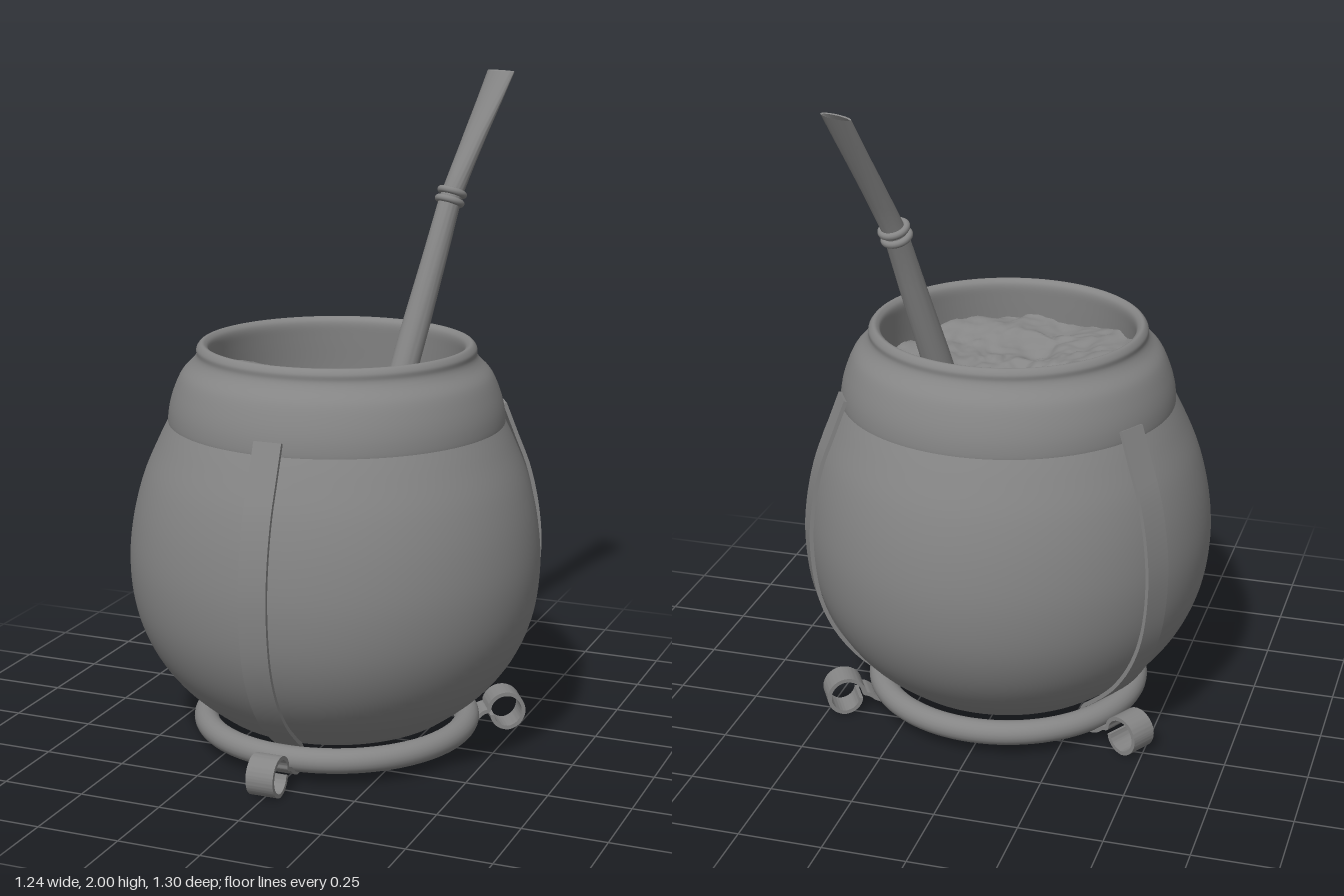
import * as THREE from 'three';
import { mergeVertices, toCreasedNormals } from 'three/addons/utils/BufferGeometryUtils.js';

const CZ = 0.025; // z of the vessel axis
const V2 = (p) => new THREE.Vector2(p[0], p[1]);
const V3 = (x, y, z) => new THREE.Vector3(x, y, z);
const darkGrey = new THREE.MeshStandardMaterial({ color: 0x858585, side: THREE.DoubleSide });

function part(name, geometry) {
  const mesh = new THREE.Mesh(geometry, darkGrey);
  mesh.name = name;
  return mesh;
}

// Weld seams and give smooth normals
function smooth(geometry) {
  geometry.deleteAttribute('uv');
  geometry.deleteAttribute('normal');
  const g = mergeVertices(geometry, 1e-5);
  g.computeVertexNormals();
  return g;
}

// Move every vertex by a rule
function deform(geometry, rule) {
  const pos = geometry.attributes.position;
  const v = V3(0, 0, 0);
  for (let i = 0; i < pos.count; i++) {
    rule(v.fromBufferAttribute(pos, i));
    pos.setXYZ(i, v.x, v.y, v.z);
  }
  return geometry;
}

const lathe = (points, steps) =>
  new THREE.LatheGeometry(new THREE.SplineCurve(points.map(V2)).getPoints(steps), 96);

// Smooth value noise in -1..1
function noise(x, z) {
  const hash = (i, j) => {
    const s = Math.sin(i * 127.1 + j * 311.7) * 43758.5453;
    return (s - Math.floor(s)) * 2 - 1;
  };
  const i = Math.floor(x), j = Math.floor(z);
  const u = THREE.MathUtils.smootherstep(x - i, 0, 1), w = THREE.MathUtils.smootherstep(z - j, 0, 1);
  const { lerp } = THREE.MathUtils;
  return lerp(lerp(hash(i, j), hash(i + 1, j), u), lerp(hash(i, j + 1), hash(i + 1, j + 1), u), w);
}

// Slightly uneven gourd, flatter under the straps
function gourdBody() {
  const g = lathe([[0.001, 0.075], [0.2, 0.077], [0.32, 0.09], [0.39, 0.13], [0.48, 0.21], [0.55, 0.31], [0.595, 0.43],
    [0.612, 0.57], [0.602, 0.71], [0.573, 0.84], [0.53, 0.95], [0.497, 1.02]], 60);
  return smooth(deform(g, (v) => {
    const a = Math.atan2(v.x, v.z);
    const fade = Math.max(0, Math.sin((v.y - 0.08) / 0.94 * Math.PI));
    const k = 1 + fade * (0.007 * (1 - Math.cos(2 * a)) - 0.008 * Math.cos(3 * a) + 0.003 * Math.sin(5 * a));
    v.x *= k;
    v.z *= k;
  }));
}

// Collar with rolled rim and inner wall
function collar() {
  return smooth(lathe([[0.495, 1.0], [0.504, 1.004], [0.5, 1.05], [0.486, 1.1], [0.463, 1.15], [0.43, 1.185], [0.418, 1.205],
    [0.417, 1.225], [0.405, 1.24], [0.392, 1.238], [0.381, 1.22], [0.383, 1.17], [0.392, 1.05], [0.392, 0.95]], 70));
}

// Lumpy herb mound, parting in a V around the liquid at the back
function herbs() {
  const g = new THREE.RingGeometry(0.001, 0.391, 140, 50);
  g.rotateX(-Math.PI / 2);
  return smooth(deform(g, (v) => {
    const { x, z } = v;
    const rightBank = (x - 0.03) * 0.68 + (z - 0.03) * 0.74;
    const leftBank = -(x + 0.05) * 0.93 + z * 0.37;
    const wx = x + 0.04 * noise(x * 9 + 5, z * 9), wz = z + 0.04 * noise(x * 9, z * 9 + 8);
    const lumps = 0.017 * noise(wx * 8 + 3, wz * 11 + 7) + 0.009 * noise(wx * 18, wz * 25) + 0.004 * noise(wx * 45, wz * 55);
    v.y = 1.04 + 0.23 * Math.max(rightBank, leftBank) + 0.12 * (0.4 * z - 0.6 * x) + lumps;
  }));
}

// Flat metal strap: up the side, wrapped under the ring, ending in a scroll
function strapGeometry() {
  const path = [[0.504, 1.045], [0.541, 0.95], [0.583, 0.84], [0.611, 0.71], [0.619, 0.58], [0.602, 0.43], [0.558, 0.31],
    [0.49, 0.21], [0.41, 0.135], [0.373, 0.105], [0.363, 0.072], [0.375, 0.044], [0.402, 0.033], [0.43, 0.043], [0.452, 0.06]];
  const n = 20;
  for (let i = 0; i <= n; i++) {
    const a = Math.PI - 0.08 - (i / n) * Math.PI * 1.9;
    const r = 0.055 - 0.01 * Math.max(0, i / n - 0.75) * 4;
    path.push([0.525 + r * Math.cos(a), 0.063 + r * Math.sin(a)]);
  }
  const curve = new THREE.SplineCurve(path.map(V2));
  const left = [], right = [], steps = 150;
  for (let i = 0; i <= steps; i++) {
    const p = curve.getPoint(i / steps), t = curve.getTangent(i / steps);
    const side = new THREE.Vector2(-t.y, t.x).multiplyScalar(0.006);
    left.push(p.clone().add(side));
    right.unshift(p.clone().sub(side));
  }
  const g = new THREE.ExtrudeGeometry(new THREE.Shape([...left, ...right]), { depth: 0.085, bevelEnabled: false });
  g.translate(0, 0, -0.0425);
  g.rotateY(-Math.PI / 2);
  return toCreasedNormals(g, 0.7);
}

// Skin level elliptical sections [x, y, z, half width, half thickness]
function loft(sections, across, sides = 32) {
  const positions = [], index = [];
  const depth = V3(across.z, 0, -across.x);
  sections.forEach(([x, y, z, width, thickness], i) => {
    for (let j = 0; j < sides; j++) {
      const a = (j / sides) * Math.PI * 2;
      const p = V3(x, y, z).addScaledVector(across, width * Math.cos(a)).addScaledVector(depth, thickness * Math.sin(a));
      positions.push(p.x, p.y, p.z);
      if (i === sections.length - 1) continue;
      const k = i * sides + j, m = i * sides + (j + 1) % sides;
      index.push(k, m, m + sides, k, m + sides, k + sides);
    }
  });
  const g = new THREE.BufferGeometry();
  g.setAttribute('position', new THREE.Float32BufferAttribute(positions, 3));
  g.setIndex(index);
  return toCreasedNormals(g, 0.8);
}

// Leaning straw with a double collar and flattened mouthpiece
function straw() {
  const group = new THREE.Group();
  group.name = 'straw';
  group.add(part('strawTube', loft([
    [0.09, 0.95, -0.172, 0.043, 0.047], [0.137, 1.24, -0.275, 0.042, 0.046],
    [0.172, 1.45, -0.349, 0.037, 0.041], [0.2, 1.63, -0.413, 0.033, 0.037],
    [0.221, 1.72, -0.461, 0.037, 0.034], [0.245, 1.82, -0.516, 0.044, 0.03],
    [0.27, 1.92, -0.571, 0.052, 0.025], [0.289, 2.0, -0.615, 0.058, 0.02],
    [0.289, 1.998, -0.615, 0.053, 0.015], [0.27, 1.92, -0.571, 0.046, 0.017],
    [0.27, 1.92, -0.571, 0.001, 0.001]], V3(0.87, 0, 0.49).normalize())));
  const dir = V3(0.17, 1, -0.38).normalize();
  for (const offset of [-0.016, 0.012]) {
    const ring = part('strawCollar', new THREE.TorusGeometry(0.036, 0.011, 12, 32));
    ring.quaternion.setFromUnitVectors(V3(0, 0, 1), dir);
    ring.position.set(0.2, 1.63, -0.413).addScaledVector(dir, offset);
    group.add(ring);
  }
  return group;
}

export function createModel() {
  const model = new THREE.Group();
  model.name = 'gourdCup';

  const vessel = new THREE.Group();
  vessel.name = 'vessel';
  vessel.position.z = CZ;
  vessel.add(part('gourdBody', gourdBody()), part('collar', collar()), part('herbs', herbs()));

  const liquid = part('liquid', new THREE.CircleGeometry(0.391, 64));
  liquid.rotation.x = -Math.PI / 2;
  liquid.position.y = 1.04;
  vessel.add(liquid);

  // Stand: base ring and three straps
  const ring = part('baseRing', new THREE.TorusGeometry(0.402, 0.037, 20, 96));
  ring.rotation.x = Math.PI / 2;
  ring.position.y = 0.072;
  vessel.add(ring);
  const strap = strapGeometry();
  for (let i = 0; i < 3; i++) {
    const s = part('strap', strap);
    s.rotation.y = (i * Math.PI * 2) / 3;
    vessel.add(s);
  }

  model.add(vessel, straw());
  return model;
}
